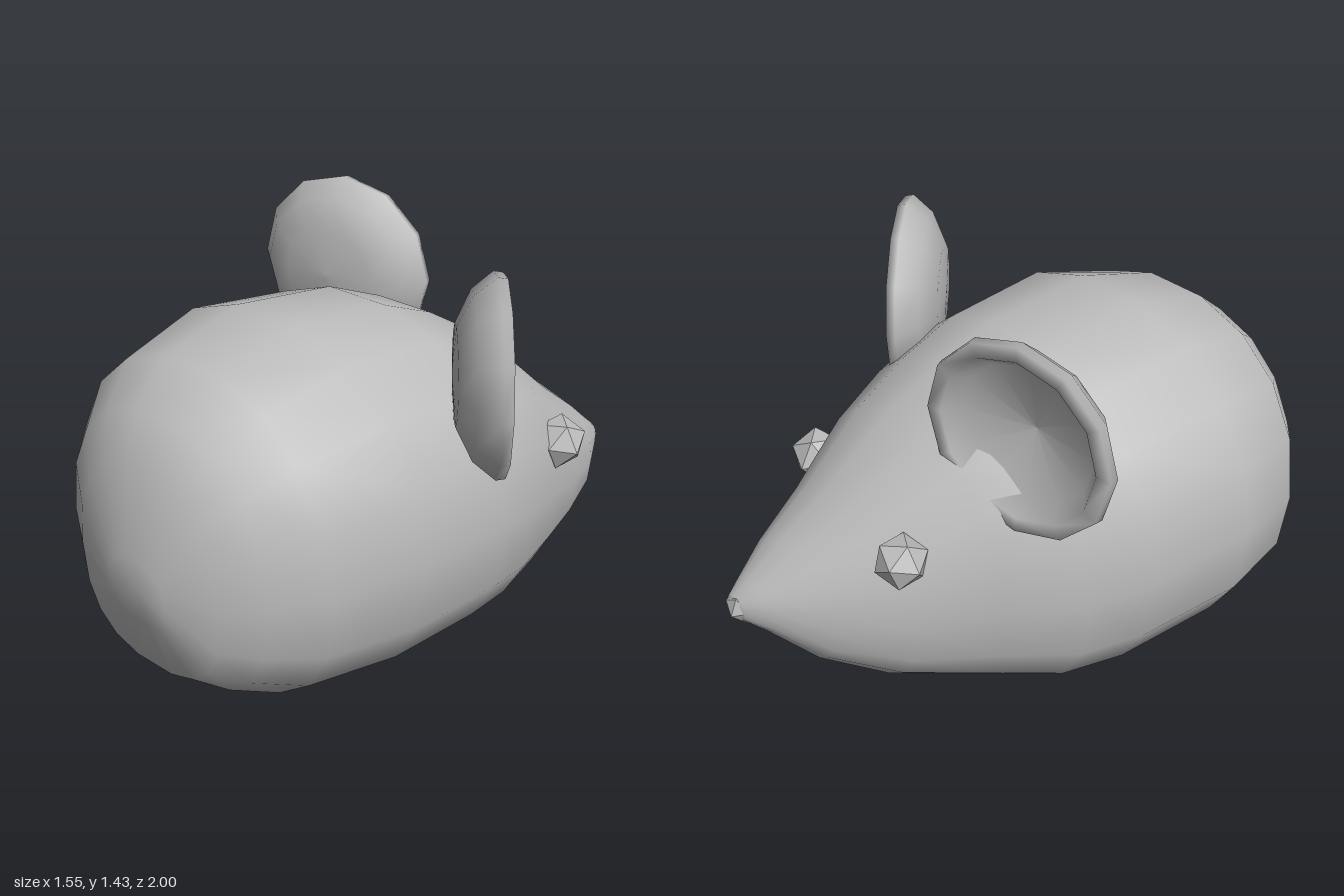
import * as THREE from 'three';

const grey = new THREE.MeshStandardMaterial({ color: 0xbcbcbc });
grey.name = 'grey';

function add(parent, name, geometry) {
  const mesh = new THREE.Mesh(geometry, grey);
  mesh.name = name;
  parent.add(mesh);
  return mesh;
}

// Body cross-sections from rump to snout: z, left x, right x, low y, high y
const SECTIONS = [
  [1.0, -0.2, 0.06, 0.42, 0.64],
  [0.93, -0.42, 0.22, 0.2, 0.91],
  [0.83, -0.58, 0.33, 0.12, 1.04],
  [0.68, -0.71, 0.45, 0.05, 1.16],
  [0.38, -0.77, 0.56, 0.03, 1.24],
  [0.0, -0.71, 0.565, 0.01, 1.2],
  [-0.2, -0.62, 0.54, 0.01, 1.12],
  [-0.4, -0.45, 0.49, 0.06, 0.995],
  [-0.62, -0.26, 0.42, 0.12, 0.79],
  [-0.8, -0.07, 0.365, 0.22, 0.635],
  [-0.92, 0.09, 0.3, 0.35, 0.52],
  [-0.97, 0.17, 0.27, 0.39, 0.475],
];

function bodyGeometry() {
  const sides = 18, pos = [], index = [];
  for (const [z, x0, x1, y0, y1] of SECTIONS) {
    const cx = (x0 + x1) / 2, rx = (x1 - x0) / 2;
    const cy = y0 + (y1 - y0) * 0.46;
    for (let j = 0; j < sides; j++) {
      const a = (j / sides) * Math.PI * 2;
      const c = Math.cos(a), s = Math.sin(a);
      // squarer belly, rounder back
      const p = 2 / (s < 0 ? 2.55 : 2.15);
      const ry = s < 0 ? cy - y0 : y1 - cy;
      pos.push(
        cx + rx * Math.sign(c) * Math.abs(c) ** p,
        cy + ry * Math.sign(s) * Math.abs(s) ** p,
        z);
    }
  }
  const rows = SECTIONS.length;
  for (let i = 0; i < rows - 1; i++) {
    for (let j = 0; j < sides; j++) {
      const k = (j + 1) % sides;
      const a = i * sides + j, b = i * sides + k;
      const c = a + sides, d = b + sides;
      index.push(a, c, b, b, c, d);
    }
  }
  // end caps
  const rear = pos.length / 3, last = (rows - 1) * sides;
  pos.push(-0.07, 0.53, 1.0, 0.22, 0.43, -0.98);
  for (let j = 0; j < sides; j++) {
    const k = (j + 1) % sides;
    index.push(rear, j, k, rear + 1, last + k, last + j);
  }
  const g = new THREE.BufferGeometry();
  g.setAttribute('position', new THREE.Float32BufferAttribute(pos, 3));
  g.setIndex(index);
  g.computeVertexNormals();
  return g;
}

// Shallow cup with a thick rim, opening towards +z
function earGeometry() {
  const profile = [
    [0, -0.14], [0.17, -0.13], [0.28, -0.08], [0.34, -0.01],
    [0.335, 0.02], [0.285, 0.02], [0.24, -0.04], [0, -0.085],
  ].map(([r, y]) => new THREE.Vector2(r, y));
  return new THREE.LatheGeometry(profile, 12).rotateX(Math.PI / 2);
}

// Faceted bead for the eyes and nose
function bead(parent, name, radius, x, y, z, turn) {
  const mesh = add(parent, name, new THREE.IcosahedronGeometry(radius, 0));
  mesh.position.set(x, y, z);
  mesh.rotation.set(turn, turn * 0.6, 0);
}

export function createModel() {
  const group = new THREE.Group();
  group.name = 'mouse';

  add(group, 'body', bodyGeometry());

  const leftEar = add(group, 'leftEar', earGeometry());
  leftEar.position.set(0.54, 1.105, 0.035);
  leftEar.rotation.y = 2.31;
  leftEar.scale.y = 0.93;

  const rightEar = add(group, 'rightEar', earGeometry());
  rightEar.position.set(-0.43, 1.12, -0.33);
  rightEar.rotation.y = -2.96;
  rightEar.scale.y = 0.97;

  bead(group, 'leftEye', 0.095, 0.455, 0.665, -0.445, 0.5);
  bead(group, 'rightEye', 0.09, -0.21, 0.69, -0.62, 0.9);
  bead(group, 'nose', 0.06, 0.22, 0.425, -0.942, 0.4);

  return group;
}
